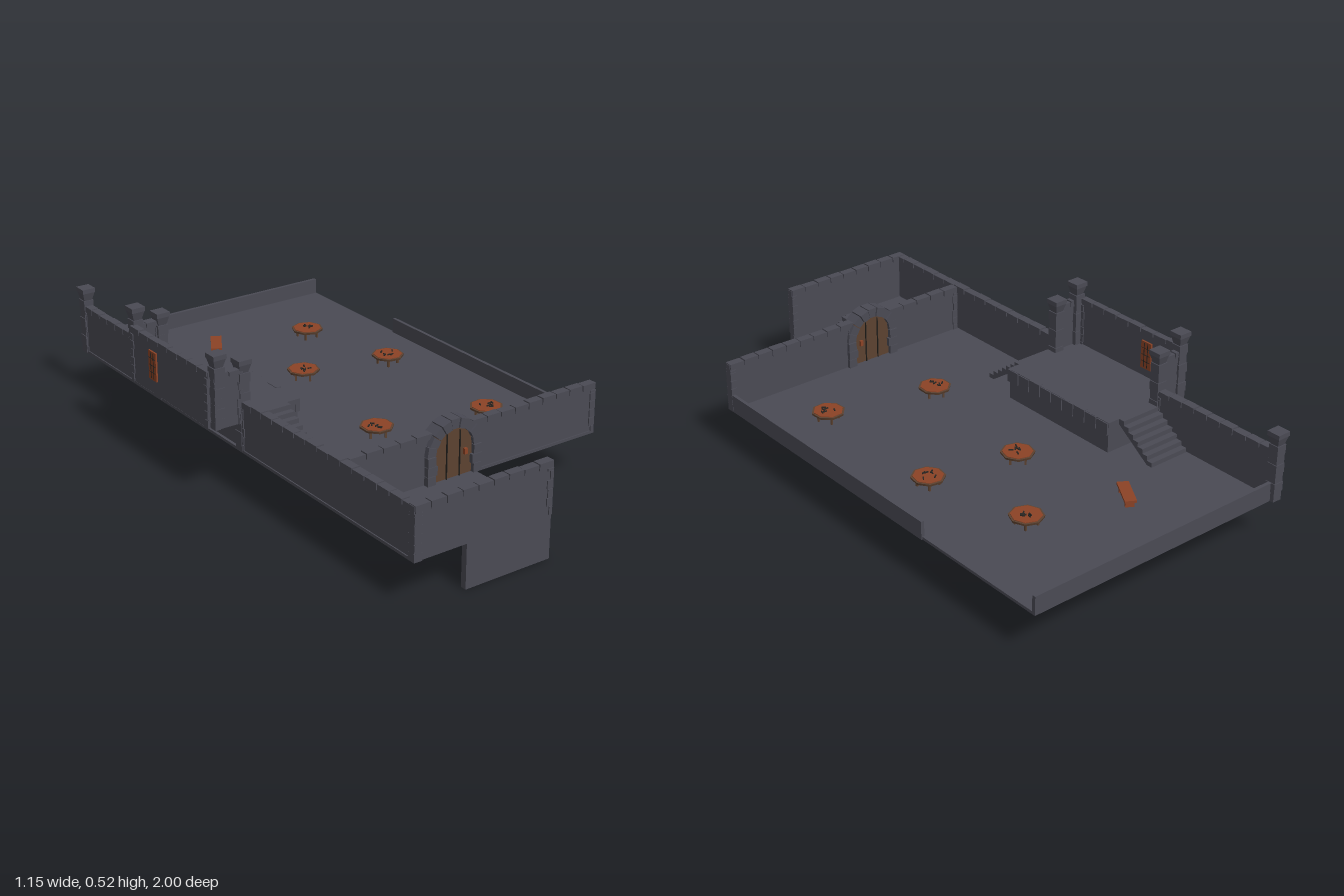
import * as THREE from 'three';

const mat = (name, color) => {
  const m = new THREE.MeshStandardMaterial({ color });
  m.name = name;
  return m;
};

export function createModel() {
  const root = new THREE.Group();
  const stone = mat('stone', 0x4a4a54);
  const wood = mat('red wood', 0x8c4326);
  const darkWood = mat('dark wood', 0x5c4230);
  const iron = mat('dark iron', 0x292622);
  const FLOOR = 0.165;

  // small seeded variation for the masonry
  let seed = 7;
  const rnd = () => (seed = (seed * 16807) % 2147483647) / 2147483647;

  const add = (name, geo, material, parent = root) => {
    const m = new THREE.Mesh(geo, material);
    m.name = name;
    parent.add(m);
    return m;
  };
  // box given by its two corners
  const box = (name, x0, x1, y0, y1, z0, z1, material = stone, parent = root) => {
    const m = add(name, new THREE.BoxGeometry(x1 - x0, y1 - y0, z1 - z0), material, parent);
    m.position.set((x0 + x1) / 2, (y0 + y1) / 2, (z0 + z1) / 2);
    return m;
  };
  const group = (name) => {
    const g = new THREE.Group();
    g.name = name;
    root.add(g);
    return g;
  };

  // row of uneven capping stones along x or z
  const capStones = (parent, axis, a, b, c0, c1, y0, y1) => {
    const n = Math.max(1, Math.round((b - a) / 0.06));
    const step = (b - a) / n;
    for (let i = 0; i < n; i++) {
      const u0 = a + i * step + 0.002;
      const u1 = a + (i + 1) * step - 0.002;
      const low = y0 + rnd() * 0.008;
      const high = y1 - rnd() * 0.004;
      if (axis === 'x') box('capStone', u0, u1, low, high, c0, c1, stone, parent);
      else box('capStone', c0, c1, low, high, u0, u1, stone, parent);
    }
  };
  // wall with capping stones and quoins at both ends
  const wall = (name, axis, a, b, c0, c1, y0, y1) => {
    const g = group(name);
    const e = 0.004;
    const block = (n, u0, u1, v0, v1, ya, yb) => axis === 'x'
      ? box(n, u0, u1, ya, yb, v0, v1, stone, g)
      : box(n, v0, v1, ya, yb, u0, u1, stone, g);
    block('panel', a, b, c0 + e, c1 - e, y0, y1 - 0.006);
    capStones(g, axis, a, b, c0, c1, y1 - 0.026, y1);
    for (let y = y0; y < y1 - 0.03; y += 0.03) {
      const w = 0.012 + rnd() * 0.012;
      const top = Math.min(y + 0.028, y1 - 0.027);
      block('quoin', a, a + w, c0, c1, y, top);
      block('quoin', b - w, b, c0, c1, y, top);
    }
    return g;
  };

  // floors
  box('courtyardFloor', -0.46, 0.57, 0.155, FLOOR, -0.97, 0.64);
  box('landingFloor', -0.46, 0.06, 0.155, FLOOR, 0.64, 0.8);
  box('landingFloorEnd', -0.46, -0.17, 0.155, FLOOR, 0.8, 0.98);

  // walls
  wall('sideWallFront', 'z', 0.08, 1.0, -0.46, -0.43, 0.155, 0.34);
  wall('sideWallBack', 'z', -0.97, -0.45, -0.46, -0.43, 0.155, 0.34);
  wall('gateWallRight', 'x', -0.43, -0.11, 0.61, 0.64, 0.155, 0.34);
  wall('gateWallLeft', 'x', 0.05, 0.575, 0.61, 0.64, 0.155, 0.34);
  wall('frontWall', 'x', -0.46, 0.07, 0.97, 1.0, 0.155, 0.34);
  box('frontWallBase', -0.26, 0.07, 0, 0.16, 0.974, 0.996);
  box('lowSideWall', 0.562, 0.574, 0.155, 0.22, -0.45, 0.62);
  box('lowBackWall', -0.43, 0.57, 0.155, 0.222, -0.978, -0.965);

  // gate: ring of arch stones, jambs and a wooden door
  const gate = group('gate');
  gate.position.set(-0.03, 0, 0.628);
  const spring = 0.262;
  const N = 9;
  for (let i = 0; i < N; i++) {
    const a0 = (i / N) * Math.PI + 0.015;
    const a1 = ((i + 1) / N) * Math.PI - 0.015;
    const s = new THREE.Shape();
    const pts = [[0.076, a0], [0.11, a0], [0.11, a1], [0.076, a1]];
    s.setFromPoints(pts.map(([r, a]) => new THREE.Vector2(r * Math.cos(a), r * Math.sin(a))));
    const d = 0.05 + (i % 2) * 0.006;
    const m = add('archStone', new THREE.ExtrudeGeometry(s, { depth: d, bevelEnabled: false }), stone, gate);
    m.position.set(0, spring, -d / 2);
  }
  for (const side of [-1, 1]) for (let i = 0; i < 3; i++) {
    const inner = 0.076 - (i % 2) * 0.006;
    const x = [side * inner, side * 0.108].sort((p, q) => p - q);
    const y = FLOOR + i * 0.0325;
    box('jambStone', x[0], x[1], y, y + 0.031, -0.027, 0.027, stone, gate);
  }
  const doorShape = new THREE.Shape();
  doorShape.moveTo(-0.078, FLOOR);
  doorShape.lineTo(0.078, FLOOR);
  doorShape.lineTo(0.078, spring);
  doorShape.absarc(0, spring, 0.078, 0, Math.PI, false);
  const door = add('door', new THREE.ExtrudeGeometry(doorShape, { depth: 0.026, bevelEnabled: false }), darkWood, gate);
  door.position.z = -0.013;
  for (const z of [-0.016, 0.016]) {
    for (const x of [-0.026, 0.026]) {
      box('doorSeam', x - 0.001, x + 0.001, FLOOR, 0.325, z - 0.003, z + 0.003, iron, gate);
    }
    box('doorHandle', 0.042, 0.054, 0.235, 0.255, z - 0.006, z + 0.006, wood, gate);
  }

  // raised platform and its overhanging alcove
  box('platformBase', -0.45, -0.226, FLOOR, 0.27, -0.436, 0.066);
  box('platformTop', -0.56, -0.222, 0.262, 0.28, -0.44, 0.07);
  const edge = group('platformEdge');
  capStones(edge, 'z', -0.44, 0.07, -0.235, -0.217, 0.232, 0.282);
  wall('alcoveBackWall', 'z', -0.43, 0.06, -0.57, -0.545, 0.26, 0.46);
  wall('alcoveSideWallFront', 'x', -0.56, -0.45, 0.065, 0.09, 0.26, 0.455);
  wall('alcoveSideWallBack', 'x', -0.56, -0.45, -0.455, -0.43, 0.26, 0.455);

  // barred wooden window in the alcove
  const win = group('alcoveWindow');
  for (const x of [-0.57, -0.545]) {
    box('windowShutter', x - 0.003, x + 0.003, 0.312, 0.415, -0.304, -0.256, wood, win);
    for (const z of [-0.288, -0.272]) box('windowBar', x - 0.004, x + 0.004, 0.318, 0.41, z - 0.0015, z + 0.0015, iron, win);
    for (const y of [0.34, 0.365, 0.39]) box('windowBar', x - 0.004, x + 0.004, y - 0.001, y + 0.001, -0.3, -0.26, iron, win);
  }

  // square pillars with stacked stones and a flared capital
  const pillar = (x, z, y0, y1) => {
    const g = group('pillar');
    g.position.set(x, 0, z);
    const courses = Math.round((y1 - 0.045 - y0) / 0.035);
    const h = (y1 - 0.045 - y0) / courses;
    for (let i = 0; i < courses; i++) {
      const w = 0.017 + (i % 2) * 0.002 + rnd() * 0.001;
      box('pillarStone', -w, w, y0 + i * h, y0 + (i + 1) * h - 0.001, -w, w, stone, g);
    }
    const flare = new THREE.CylinderGeometry(0.033, 0.022, 0.03, 4).toNonIndexed();
    flare.rotateY(Math.PI / 4);
    flare.computeVertexNormals();
    add('capital', flare, stone, g).position.y = y1 - 0.031;
    box('capitalSlab', -0.025, 0.025, y1 - 0.016, y1, -0.025, 0.025, stone, g);
  };
  pillar(-0.445, -0.975, 0.155, 0.405);
  for (const z of [-0.44, 0.072]) {
    pillar(-0.54, z, 0.262, 0.52);
    pillar(-0.445, z, 0.16, 0.48);
  }

  // stairs descending along +x of their own frame, with a sloping underside
  const stairs = (name, n, run, rise, width) => {
    const s = new THREE.Shape();
    s.moveTo(0, 0);
    for (let i = 0; i < n; i++) {
      s.lineTo(((i + 1) * run) / n, (-i * rise) / n);
      s.lineTo(((i + 1) * run) / n, (-(i + 1) * rise) / n);
    }
    s.lineTo(run * (1 - 1 / n), -rise);
    s.lineTo(0, (-1.2 * rise) / n);
    return add(name, new THREE.ExtrudeGeometry(s, { depth: width, bevelEnabled: false }), stone);
  };
  stairs('entranceStairs', 8, 0.155, 0.13, 0.17).position.set(-0.17, FLOOR, 0.8);
  const stairA = stairs('platformStairsFront', 7, 0.16, 0.115, 0.16);
  stairA.rotation.y = -Math.PI / 2;
  stairA.position.set(-0.27, 0.28, 0.07);
  const stairB = stairs('platformStairsBack', 7, 0.16, 0.115, 0.16);
  stairB.rotation.y = Math.PI / 2;
  stairB.position.set(-0.43, 0.28, -0.44);

  // octagonal tables with clutter on top
  const tables = [[0.275, -0.6], [0.04, -0.285], [0.365, -0.22], [-0.035, 0.25], [0.36, 0.34]];
  tables.forEach(([x, z], k) => {
    const g = group('table');
    g.position.set(x, FLOOR, z);
    g.rotation.y = k * 0.9;
    const rim = add('tableRim', new THREE.CylinderGeometry(0.059, 0.057, 0.008, 8), darkWood, g);
    rim.position.y = 0.032;
    const top = add('tableTop', new THREE.CylinderGeometry(0.052, 0.052, 0.006, 8), wood, g);
    top.position.y = 0.035;
    for (let i = 0; i < 4; i++) {
      const a = (i + 0.5) * Math.PI / 2;
      const leg = add('tableLeg', new THREE.BoxGeometry(0.007, 0.036, 0.007), darkWood, g);
      leg.position.set(0.036 * Math.cos(a), 0.012, 0.036 * Math.sin(a));
    }
    for (let i = 0; i < 6; i++) {
      const a = rnd() * Math.PI * 2;
      const r = 0.008 + rnd() * 0.022;
      const item = add('tableware', new THREE.BoxGeometry(0.015, 0.004, 0.004), iron, g);
      item.position.set(r * Math.cos(a), 0.04, r * Math.sin(a));
      item.rotation.y = rnd() * 3;
    }
  });

  // bench
  const bench = group('bench');
  bench.position.set(-0.07, FLOOR, -0.69);
  bench.rotation.y = 1.03;
  box('benchSeat', -0.061, 0.061, 0.022, 0.03, -0.02, 0.02, wood, bench);
  for (const x of [-0.045, 0.045]) box('benchLeg', x - 0.004, x + 0.004, 0, 0.022, -0.015, 0.015, wood, bench);

  return root;
}
